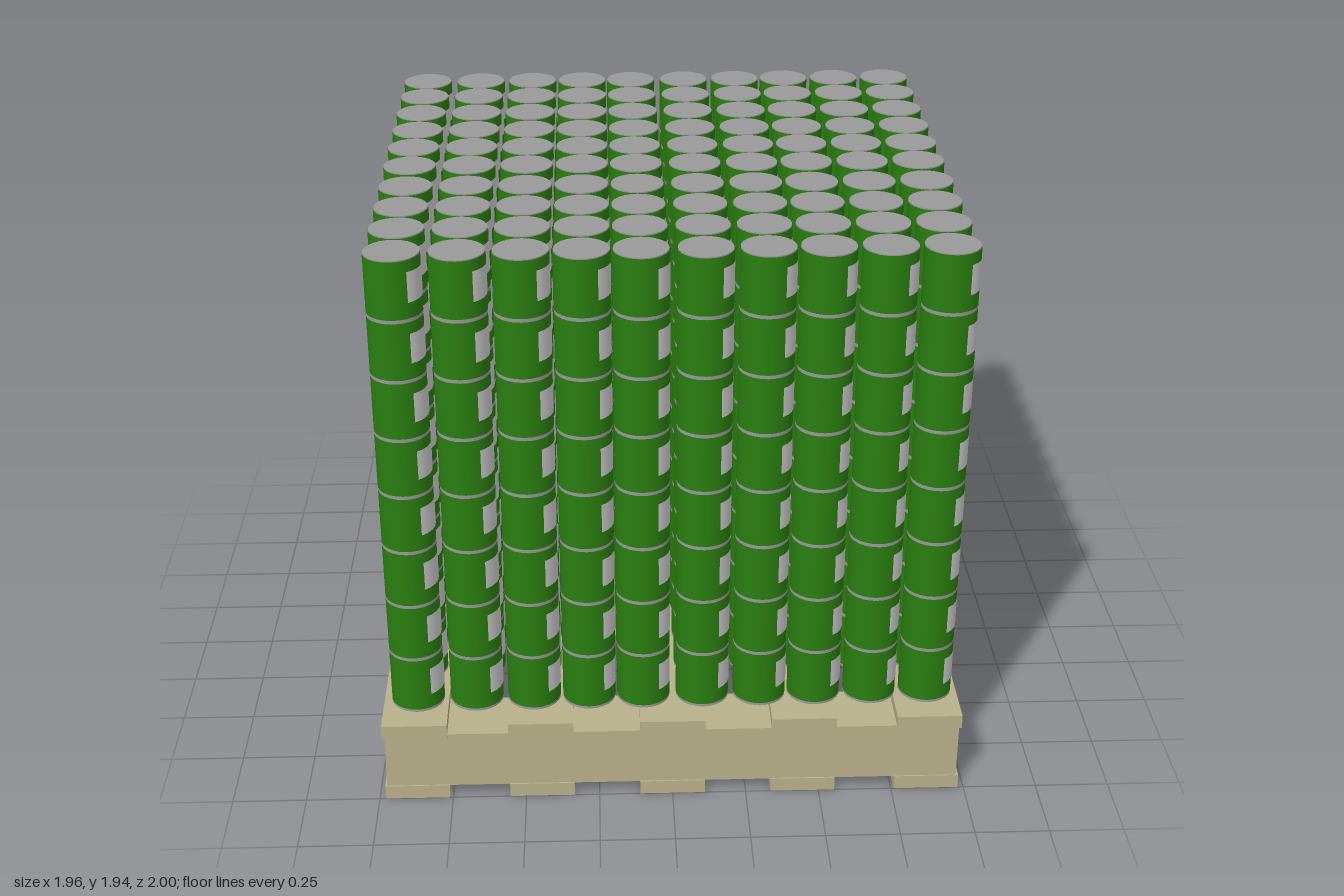
import * as THREE from 'three';
import { mergeGeometries } from 'three/addons/utils/BufferGeometryUtils.js';

const LAYERS = 8;
const BASE = 0.295;      // top of the pallet deck
const CAN_H = 0.206;
const R = 0.09;
const SIDES = 24;
const rad = THREE.MathUtils.degToRad;

// Open cylinder band standing from y0 to y1, repeated once per layer
function stackedBand(radius, y0, y1, segs, start = 0, sweep = 360) {
  const parts = [];
  for (let i = 0; i < LAYERS; i++) {
    const g = new THREE.CylinderGeometry(radius, radius, y1 - y0, segs, 1, true, rad(start), rad(sweep));
    g.translate(0, i * CAN_H + (y0 + y1) / 2, 0);
    parts.push(g);
  }
  return mergeGeometries(parts);
}

function addMesh(parent, name, geometry, material) {
  const mesh = new THREE.Mesh(geometry, material);
  mesh.name = name;
  parent.add(mesh);
  return mesh;
}

function addBox(parent, name, material, [x0, x1], [y0, y1], [z0, z1]) {
  const mesh = addMesh(parent, name, new THREE.BoxGeometry(x1 - x0, y1 - y0, z1 - z0), material);
  mesh.position.set((x0 + x1) / 2, (y0 + y1) / 2, (z0 + z1) / 2);
}

function createPallet() {
  const wood = new THREE.MeshStandardMaterial({ color: 0xb8b08a });
  const pallet = new THREE.Group();
  pallet.name = 'pallet';
  // Deck and bottom boards run front to back
  for (const x of [-0.87, -0.445, 0, 0.445, 0.87]) {
    const span = [x - 0.11, x + 0.11];
    addBox(pallet, 'deckBoard', wood, span, [0.245, BASE], [-1, 1]);
    addBox(pallet, 'bottomBoard', wood, span, [0, 0.05], [-1, 1]);
  }
  // Bearers run side to side between them
  for (const z of [[-0.995, -0.785], [-0.135, 0.08], [0.785, 0.995]]) {
    addBox(pallet, 'bearer', wood, [-0.972, 0.972], [0.048, 0.257], z);
  }
  return pallet;
}

function createCans() {
  const steel = new THREE.MeshStandardMaterial({ color: 0x999999 });
  const green = new THREE.MeshStandardMaterial({ color: 0x2a7d10 });
  const grey = new THREE.MeshStandardMaterial({ color: 0xcccccc });

  // Geometry shared by every stack of cans
  const total = LAYERS * CAN_H;
  const core = new THREE.CylinderGeometry(R - 0.002, R - 0.002, total, SIDES);
  core.translate(0, total / 2, 0);
  const rims = stackedBand(R, 0, 0.009, SIDES);
  const sleeves = stackedBand(R, 0.009, 0.203, SIDES);
  const labels = stackedBand(R + 0.001, 0.062, 0.164, 8, 34, 122);

  const xs = [-0.865, -0.664, -0.468, -0.28, -0.095, 0.106, 0.301, 0.488, 0.68, 0.873];
  const zs = [-0.875, -0.69, -0.5, -0.31, -0.125, 0.06, 0.257, 0.447, 0.635, 0.825];
  const cans = new THREE.Group();
  cans.name = 'cans';
  for (const x of xs) {
    for (const z of zs) {
      const stack = new THREE.Group();
      stack.name = 'canStack';
      stack.position.set(x, BASE, z);
      addMesh(stack, 'canBodies', core, steel);
      addMesh(stack, 'canRims', rims, steel);
      addMesh(stack, 'canSleeves', sleeves, green);
      addMesh(stack, 'canLabels', labels, grey);
      cans.add(stack);
    }
  }
  return cans;
}

export function createModel() {
  const model = new THREE.Group();
  model.name = 'palletOfCans';
  model.add(createPallet(), createCans());
  return model;
}
